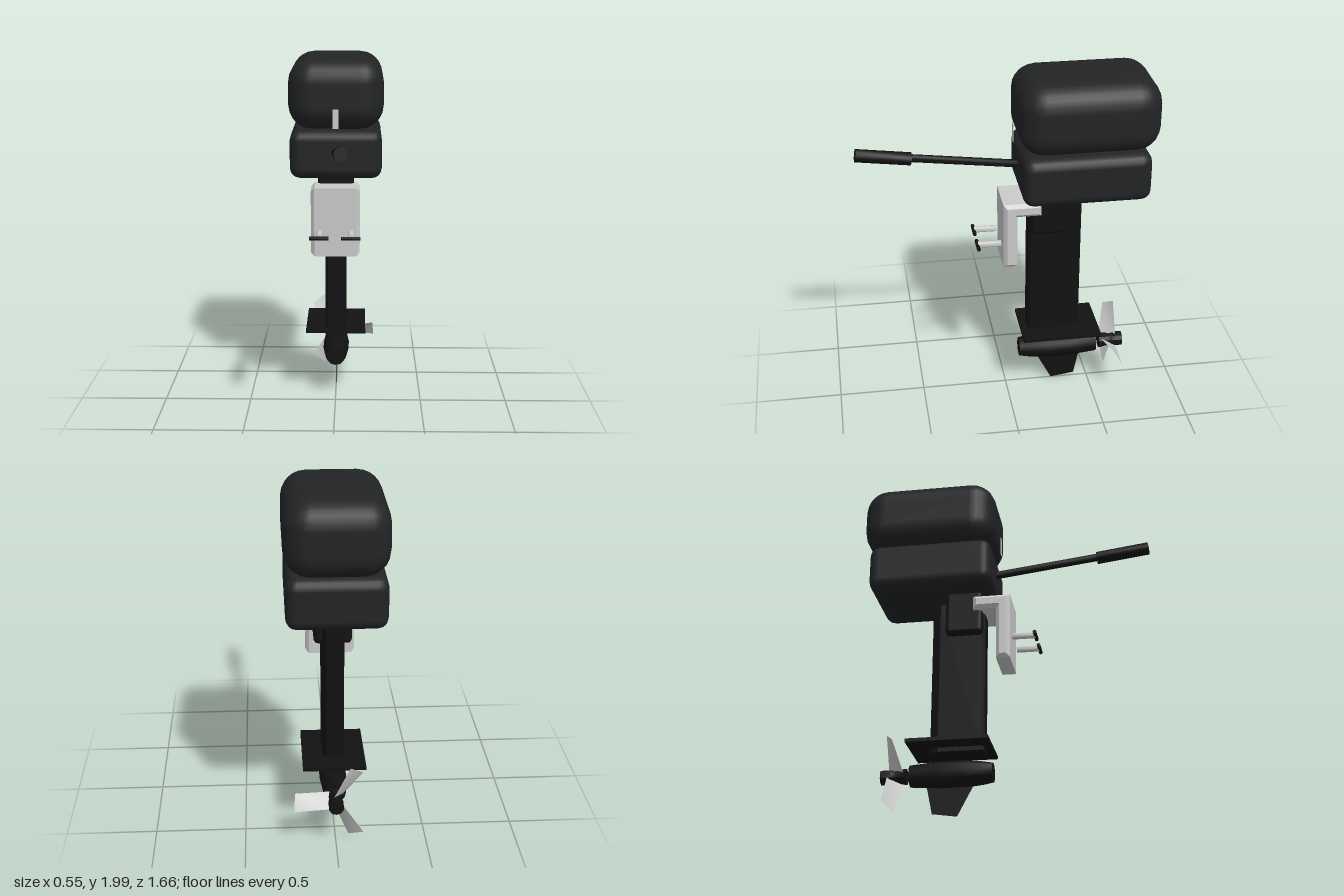
import * as THREE from 'three';
import { RoundedBoxGeometry } from 'three/addons/geometries/RoundedBoxGeometry.js';
import { toCreasedNormals } from 'three/addons/utils/BufferGeometryUtils.js';

const paint = (color, options = {}) => new THREE.MeshStandardMaterial({ color, ...options });
const cowlPaint = paint(0x222426);
const black = paint(0x121212);
const blackThin = paint(0x121212, { side: THREE.DoubleSide });
const grey = paint(0xcccccc);
const greyThin = paint(0xcccccc, { side: THREE.DoubleSide });

export function createModel() {
  const model = new THREE.Group();
  model.name = 'outboardMotor';

  function add(name, geometry, material, x = 0, y = 0, z = 0, parent = model) {
    const mesh = new THREE.Mesh(geometry, material);
    mesh.name = name;
    mesh.position.set(x, y, z);
    parent.add(mesh);
    return mesh;
  }
  const outline = (points) => new THREE.Shape(points.map(([a, b]) => new THREE.Vector2(a, b)));

  // Round bar between two points
  function bar(name, from, to, radius, sides, material, parent = model) {
    const a = new THREE.Vector3(...from), b = new THREE.Vector3(...to);
    const geometry = toCreasedNormals(new THREE.CylinderGeometry(radius, radius, a.distanceTo(b), sides), 0.8);
    const mesh = add(name, geometry, material, 0, 0, 0, parent);
    mesh.position.copy(a).lerp(b, 0.5);
    mesh.quaternion.setFromUnitVectors(new THREE.Vector3(0, 1, 0), b.sub(a).normalize());
    return mesh;
  }

  // Turned body along z from [radius, z] pairs, running front to back
  function turned(name, profile, sides, y, parent = model) {
    const points = profile.map(([r, z]) => new THREE.Vector2(r, -z));
    const geometry = new THREE.LatheGeometry(points, sides).rotateX(-Math.PI / 2);
    return add(name, toCreasedNormals(geometry, 0.6), blackThin, 0, y, 0, parent);
  }

  // Engine housing
  add('upperCowl', new RoundedBoxGeometry(0.55, 0.41, 0.78, 3, 0.14), cowlPaint, 0, 1.795, -0.44);
  add('lowerCowl', new RoundedBoxGeometry(0.53, 0.28, 0.715, 2, 0.06), cowlPaint, 0, 1.453, -0.422);
  add('cowlLatch', new THREE.BoxGeometry(0.034, 0.11, 0.004), grey, 0, 1.665, -0.041);
  add('swivelNeck', new RoundedBoxGeometry(0.21, 0.29, 0.215, 2, 0.025), black, 0, 1.21, -0.242);

  // Drive leg: chamfered section, narrower at the trailing edge
  const legSection = outline([
    [-0.045, 0.125], [0.045, 0.125], [0.06, 0.14], [0.06, 0.385],
    [0.04, 0.43], [-0.04, 0.43], [-0.06, 0.385], [-0.06, 0.14],
  ]);
  const leg = new THREE.ExtrudeGeometry(legSection, { depth: 0.905, bevelEnabled: false });
  add('driveLeg', leg.rotateX(-Math.PI / 2), black, 0, 0.365, 0);
  add('cavitationPlate', new THREE.BoxGeometry(0.35, 0.02, 0.46), black, 0, 0.4, -0.315);

  // Gearcase and skeg
  turned('gearcase', [
    [0, -0.08], [0.055, -0.08], [0.066, -0.14], [0.076, -0.24],
    [0.076, -0.38], [0.062, -0.545], [0, -0.545],
  ], 12, 0.25);
  const skeg = new THREE.ShapeGeometry(outline([
    [0.18, 0.2], [0.28, 0.008], [0.42, 0.028], [0.455, 0.2],
  ]));
  add('skeg', skeg.rotateY(Math.PI / 2), blackThin);

  // Propeller: hub and three pitched flat blades
  const propeller = new THREE.Group();
  propeller.name = 'propeller';
  propeller.position.y = 0.25;
  model.add(propeller);
  turned('propellerHub', [
    [0, -0.567], [0.047, -0.567], [0.035, -0.635], [0.042, -0.65], [0.042, -0.71], [0, -0.71],
  ], 10, 0, propeller);
  const blade = new THREE.BufferGeometry();
  blade.setAttribute('position', new THREE.Float32BufferAttribute([
    0.03, -0.03, -0.67, 0.23, -0.042, -0.67, 0.222, 0.046, -0.622, 0.03, 0.03, -0.578,
  ], 3));
  blade.setIndex([0, 1, 2, 0, 2, 3]);
  blade.computeVertexNormals();
  for (let i = 0; i < 3; i++) {
    add('propellerBlade', blade, greyThin, 0, 0, 0, propeller).rotation.z = i * Math.PI * 2 / 3;
  }

  // Transom bracket: bevelled hook section run across the width
  const bevel = 0.02;
  const hook = outline([
    [-0.03 + bevel, 0.885 + bevel], [0.05 - bevel, 0.885 + bevel], [0.05 - bevel, 1.2 + bevel],
    [0.185 - bevel, 1.2 + bevel], [0.185 - bevel, 1.28 - bevel], [-0.03 + bevel, 1.28 - bevel],
  ]);
  const bracket = new THREE.ExtrudeGeometry(hook, {
    depth: 0.28 - 2 * bevel, bevelSize: bevel, bevelThickness: bevel, bevelSegments: 1,
  });
  bracket.translate(0, 0, bevel - 0.14).rotateY(Math.PI / 2);
  add('transomBracket', bracket, grey);

  // Clamp screws with cross handles
  for (const side of [-1, 1]) {
    const clamp = new THREE.Group();
    clamp.name = side > 0 ? 'leftClamp' : 'rightClamp';
    model.add(clamp);
    const x = side * 0.09;
    bar('clampScrew', [x, 1.025, 0.04], [x, 1.025, 0.17], 0.018, 10, grey, clamp);
    bar('clampHandle', [x - 0.054, 1.022, 0.172], [x + 0.054, 1.022, 0.172], 0.011, 8, black, clamp);
  }

  // Steering tiller, angled up and slightly to the side
  bar('tillerArm', [-0.005, 1.467, -0.1], [0.031, 1.572, 0.6], 0.022, 10, black);
  bar('tillerGrip', [0.028, 1.557, 0.525], [0.04, 1.603, 0.828], 0.036, 12, black);

  return model;
}
